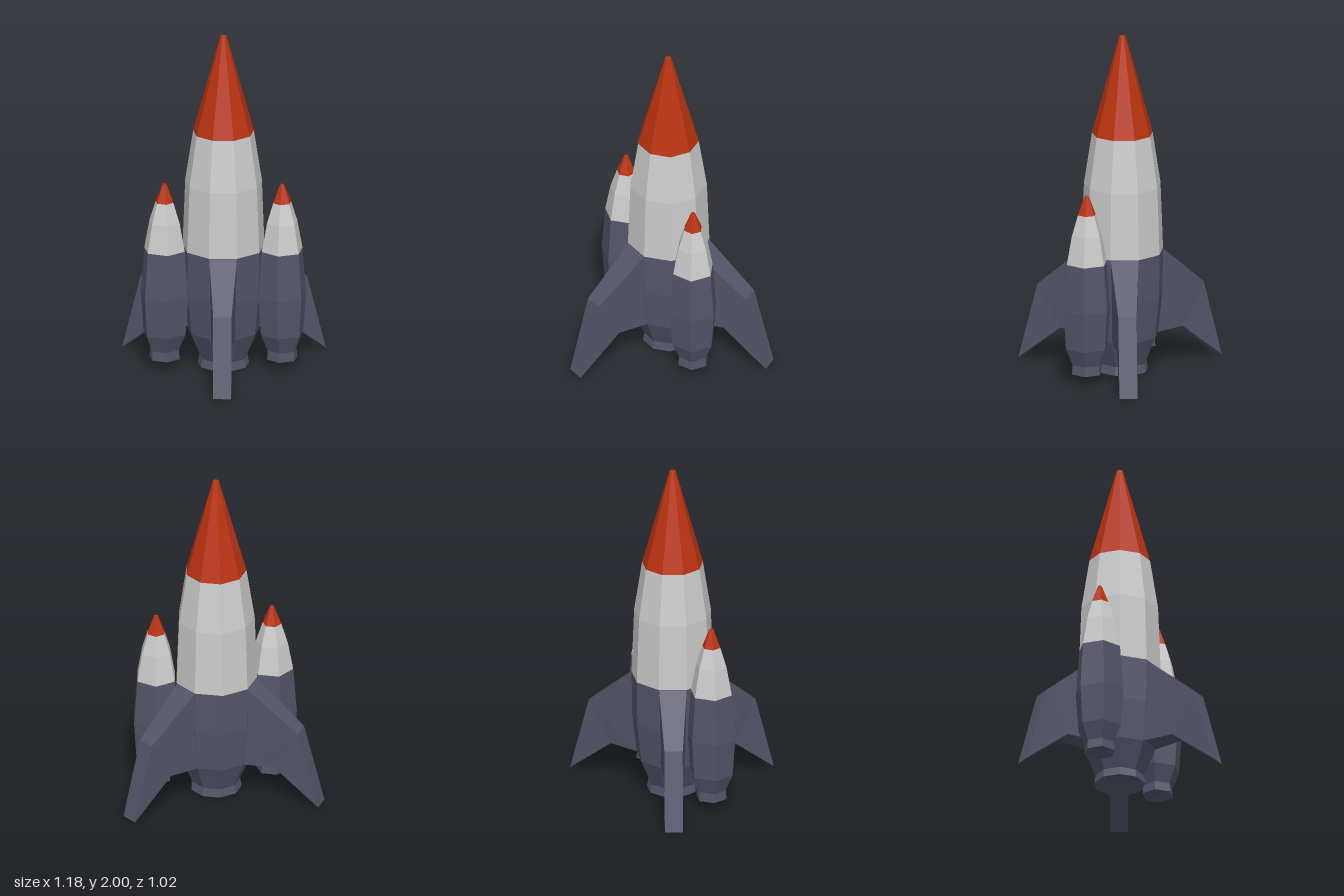
import * as THREE from 'three';

const mat = (color) => new THREE.MeshStandardMaterial({ color, flatShading: true, side: THREE.DoubleSide });
const red = mat(0xbb3311);
const grey = mat(0xcccccc);
const navy = mat(0x55556b);

// Faceted body section from [radius, height] points, a flat side facing +z
function section(name, points, sides, material) {
  const profile = points.map(([r, y]) => new THREE.Vector2(r, y));
  const mesh = new THREE.Mesh(new THREE.LatheGeometry(profile, sides, Math.PI / sides), material);
  mesh.name = name;
  return mesh;
}

// Swept fin: outline corners as [distance from axis, height, half thickness]
function finGeometry() {
  const outline = [
    [0.2, 0.21, 0.07], [0.38, 0.215, 0.053], [0.65, 0.003, 0.052],
    [0.525, 0.46, 0.053], [0.224, 0.712, 0.08],
  ];
  const n = outline.length;
  const positions = [];
  for (const side of [1, -1]) {
    for (const [d, y, w] of outline) positions.push(side * w, y, d);
  }
  const index = [];
  // side faces
  for (const [a, b, c] of [[0, 3, 1], [0, 4, 3], [1, 3, 2]]) {
    index.push(a, b, c, n + a, n + c, n + b);
  }
  // edge faces around the outline
  for (let i = 0; i < n; i++) {
    const j = (i + 1) % n;
    index.push(i, j, n + j, i, n + j, n + i);
  }
  const geometry = new THREE.BufferGeometry();
  geometry.setAttribute('position', new THREE.Float32BufferAttribute(positions, 3));
  geometry.setIndex(index);
  geometry.computeVertexNormals();
  return geometry;
}

// Small side booster
function createBooster() {
  const booster = new THREE.Group();
  booster.add(
    section('boosterEngine', [[0, 0.09], [0.055, 0.09], [0.093, 0.055], [0.088, 0.11], [0.13, 0.21], [0.146, 0.44], [0.125, 0.715]], 6, navy),
    section('boosterHull', [[0.125, 0.715], [0.093, 0.885], [0.055, 1.005]], 6, grey),
    section('boosterNose', [[0.055, 1.005], [0.012, 1.115], [0, 1.115]], 6, red),
  );
  return booster;
}

export function createModel() {
  const rocket = new THREE.Group();
  rocket.name = 'rocket';

  // Main body
  const body = new THREE.Group();
  body.name = 'mainBody';
  body.add(
    section('engine', [[0, 0.055], [0.095, 0.055], [0.15, 0], [0.141, 0.05], [0.21, 0.21], [0.236, 0.45], [0.24, 0.715]], 9, navy),
    section('hull', [[0.24, 0.715], [0.225, 1.11], [0.178, 1.415]], 9, grey),
    section('noseCone', [[0.178, 1.415], [0.018, 2], [0, 2]], 9, red),
  );
  rocket.add(body);

  // Three fins, evenly spaced
  const finShape = finGeometry();
  for (let i = 0; i < 3; i++) {
    const fin = new THREE.Mesh(finShape, navy);
    fin.name = ['frontFin', 'leftFin', 'rightFin'][i];
    fin.rotation.y = (i * 2 * Math.PI) / 3;
    rocket.add(fin);
  }

  // Pair of boosters
  for (const side of [1, -1]) {
    const angle = side * THREE.MathUtils.degToRad(80);
    const booster = createBooster();
    booster.name = side > 0 ? 'leftBooster' : 'rightBooster';
    booster.position.set(0.345 * Math.sin(angle), 0, 0.345 * Math.cos(angle));
    booster.rotation.y = angle;
    rocket.add(booster);
  }

  rocket.position.z = -0.14;
  const model = new THREE.Group();
  model.add(rocket);
  return model;
}
